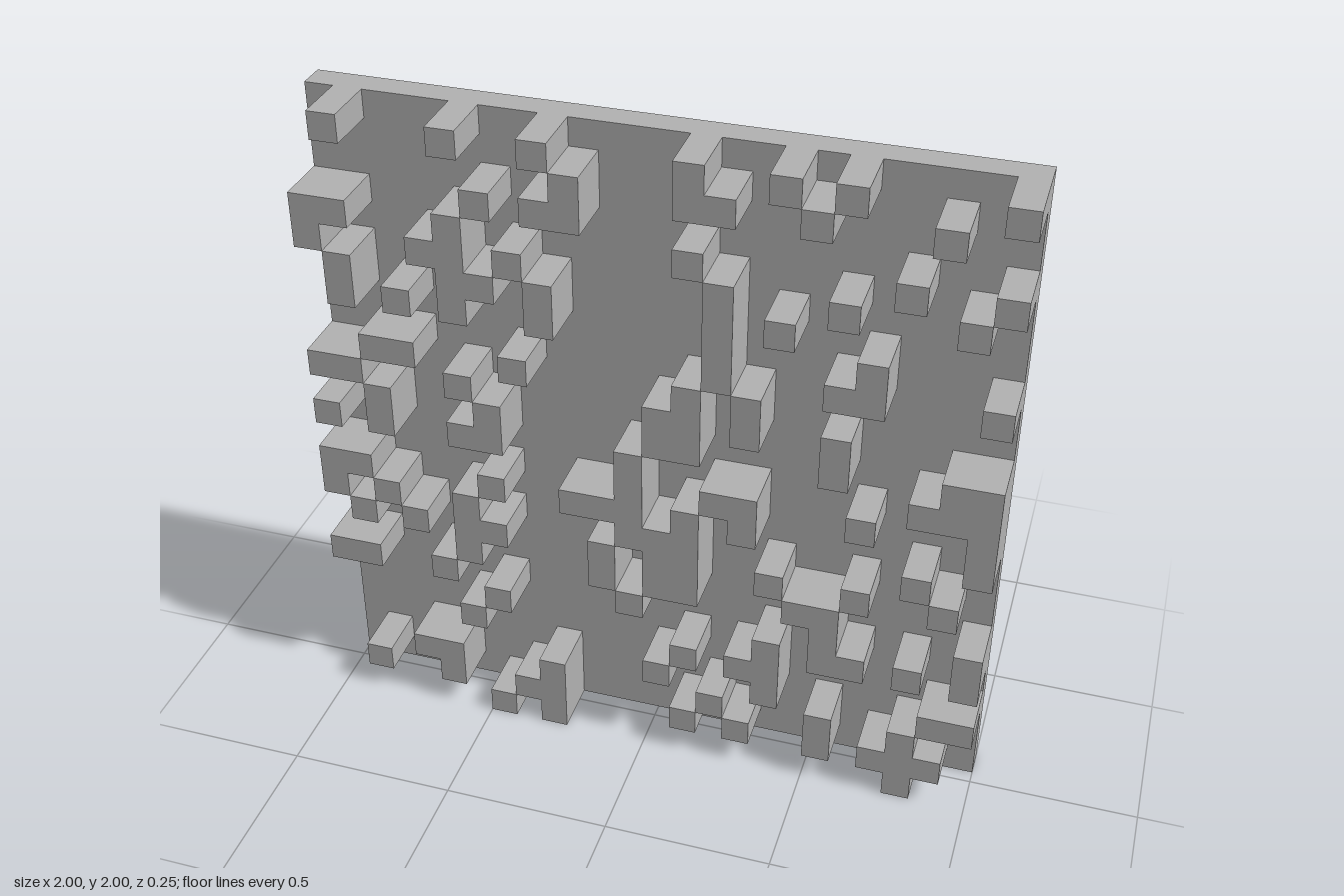
import * as THREE from 'three';
import { mergeGeometries } from 'three/addons/utils/BufferGeometryUtils.js';

const N = 24, CELL = 2 / N;
const BACK = -0.125, FLOOR = BACK + CELL, TOP = 0.125;

// Columns of the raised blocks, row by row from the top of the panel
const RAISED = [
  [1, 5, 8, 13, 16, 18, 23],
  [9, 13, 14, 17, 21],
  [6, 8, 9],
  [0, 1, 5, 13, 20, 23],
  [0, 4, 5, 7, 14, 18, 22],
  [1, 5, 6, 8, 14, 16],
  [1, 3, 5, 8, 14, 19],
  [14, 18, 19, 23],
  [2, 3, 7, 13, 15],
  [0, 1, 5, 12, 13, 15, 18],
  [2, 6, 12, 13, 18, 22, 23],
  [0, 2, 5, 6, 11, 21, 22, 23],
  [11, 14, 15, 19, 23],
  [0, 1, 6, 9, 10, 11, 13, 15, 23],
  [0, 2, 5, 11, 12, 13, 21],
  [1, 3, 5, 6, 10, 12, 13, 16, 19, 22],
  [5, 10, 12, 13, 17, 18],
  [0, 1, 4, 11, 18, 23],
  [6, 16, 18, 19, 21, 23],
  [5, 13, 15, 16],
  [12, 16, 22, 23],
  [3, 4, 8, 14, 18, 21],
  [1, 4, 7, 8, 13, 15, 18, 20, 21, 22],
  [6, 8, 21],
];
const isRaised = (r, c) => !!RAISED[r] && RAISED[r].includes(c);

// A rectangle turned to face one way and moved into place
function face(w, h, rx, ry, x, y, z) {
  return new THREE.PlaneGeometry(w, h).rotateX(rx).rotateY(ry).translate(x, y, z);
}

export function createModel() {
  const model = new THREE.Group();
  const grey = new THREE.MeshStandardMaterial({ color: 0xb3b3b3 });
  grey.name = 'stone grey';
  const add = (name, parts) => {
    const mesh = new THREE.Mesh(mergeGeometries(parts), grey);
    mesh.name = name;
    model.add(mesh);
  };

  const Q = Math.PI / 2;
  const depth = TOP - FLOOR, mid = (TOP + FLOOR) / 2;
  const slabMid = (BACK + FLOOR) / 2;

  // Back and four edges of the slab
  add('backPlate', [
    face(2, 2, 0, Math.PI, 0, 1, BACK),
    face(CELL, 2, 0, Q, 1, 1, slabMid),
    face(CELL, 2, 0, -Q, -1, 1, slabMid),
    face(2, CELL, -Q, 0, 0, 2, slabMid),
    face(2, CELL, Q, 0, 0, 0, slabMid),
  ]);

  // Floor between the blocks, and the blocks with only their exposed walls
  const floor = [], blocks = [];
  for (let r = 0; r < N; r++) {
    for (let c = 0; c < N; c++) {
      const x = -1 + (c + 0.5) * CELL, y = 2 - (r + 0.5) * CELL, h = CELL / 2;
      if (!isRaised(r, c)) {
        floor.push(face(CELL, CELL, 0, 0, x, y, FLOOR));
        continue;
      }
      blocks.push(face(CELL, CELL, 0, 0, x, y, TOP));
      if (!isRaised(r, c + 1)) blocks.push(face(depth, CELL, 0, Q, x + h, y, mid));
      if (!isRaised(r, c - 1)) blocks.push(face(depth, CELL, 0, -Q, x - h, y, mid));
      if (!isRaised(r - 1, c)) blocks.push(face(CELL, depth, -Q, 0, x, y + h, mid));
      if (!isRaised(r + 1, c)) blocks.push(face(CELL, depth, Q, 0, x, y - h, mid));
    }
  }
  add('panelFloor', floor);
  add('raisedBlocks', blocks);
  return model;
}
